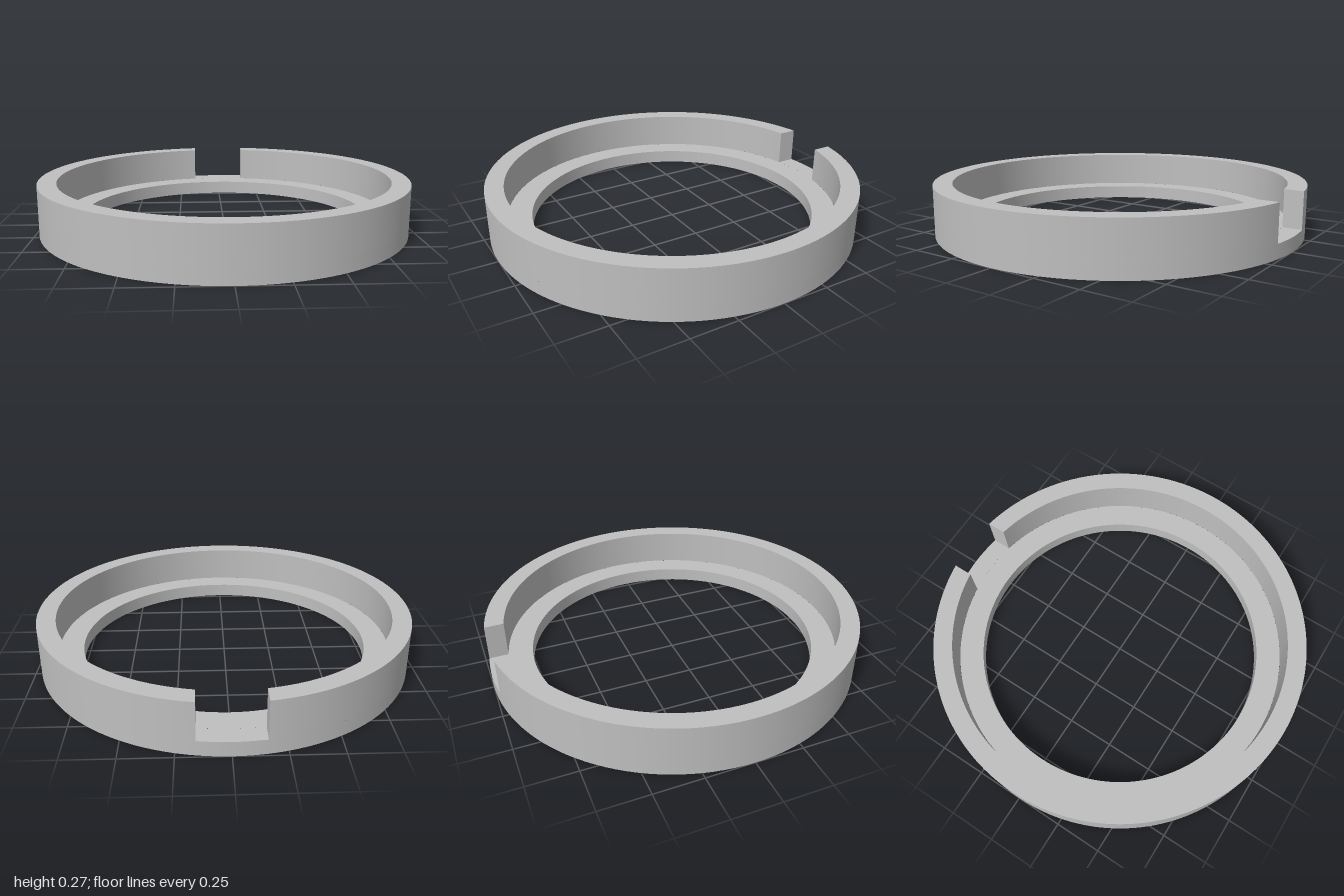
import * as THREE from 'three';
import { toCreasedNormals } from 'three/addons/utils/BufferGeometryUtils.js';

const OUTER = 1, STEP = 0.9, BORE = 0.77;
const LEDGE_Y = 0.075, TOP_Y = 0.27, NOTCH = 0.157;
const SEGMENTS = 128;

// Outline of a band between two radii, cut by the parallel sides of the notch.
function bandShape(from, to, outerAngle, innerAngle, turns) {
  const shape = new THREE.Shape();
  const mid = Math.PI / 2;
  shape.absarc(0, 0, OUTER, mid + from * outerAngle, mid + to * outerAngle + turns, false);
  shape.absarc(0, 0, STEP, mid + to * innerAngle + turns, mid + from * innerAngle, true);
  shape.closePath();
  return shape;
}

// Remove the triangles lying on the plane y = level.
function dropFlatTriangles(geometry, level) {
  const p = geometry.getAttribute('position');
  const kept = [];
  for (let i = 0; i < p.count; i += 3) {
    const flat = [0, 1, 2].every((k) => Math.abs(p.getY(i + k) - level) < 1e-5);
    if (flat) continue;
    for (let k = 0; k < 3; k++) kept.push(p.getX(i + k), p.getY(i + k), p.getZ(i + k));
  }
  const result = new THREE.BufferGeometry();
  result.setAttribute('position', new THREE.Float32BufferAttribute(kept, 3));
  return result;
}

export function createModel() {
  const group = new THREE.Group();
  group.name = 'notchedRing';
  const grey = new THREE.MeshStandardMaterial({ color: 0xbfbfbf });
  grey.name = 'grey';

  const add = (name, geometry) => {
    const mesh = new THREE.Mesh(toCreasedNormals(geometry, Math.PI / 6), grey);
    mesh.name = name;
    group.add(mesh);
  };

  // Flat base with the inner ledge and the bore
  const profile = [
    [STEP, LEDGE_Y], [BORE, LEDGE_Y], [BORE, 0], [OUTER, 0], [OUTER, LEDGE_Y],
  ].map(([r, y]) => new THREE.Vector2(r, y));
  add('baseRing', new THREE.LatheGeometry(profile, SEGMENTS));

  const outerAngle = Math.asin(NOTCH / OUTER);
  const innerAngle = Math.asin(NOTCH / STEP);

  // Raised wall, open at the back
  const wall = new THREE.ExtrudeGeometry(
    bandShape(1, -1, outerAngle, innerAngle, Math.PI * 2),
    { depth: TOP_Y - LEDGE_Y, bevelEnabled: false, curveSegments: SEGMENTS },
  );
  wall.rotateX(-Math.PI / 2).translate(0, LEDGE_Y, 0);
  add('outerWall', dropFlatTriangles(wall, LEDGE_Y));

  // Floor of the notch, level with the ledge
  const floor = new THREE.ShapeGeometry(bandShape(-1, 1, outerAngle, innerAngle, 0), 16);
  floor.rotateX(-Math.PI / 2).translate(0, LEDGE_Y, 0);
  add('notchFloor', floor);

  return group;
}
